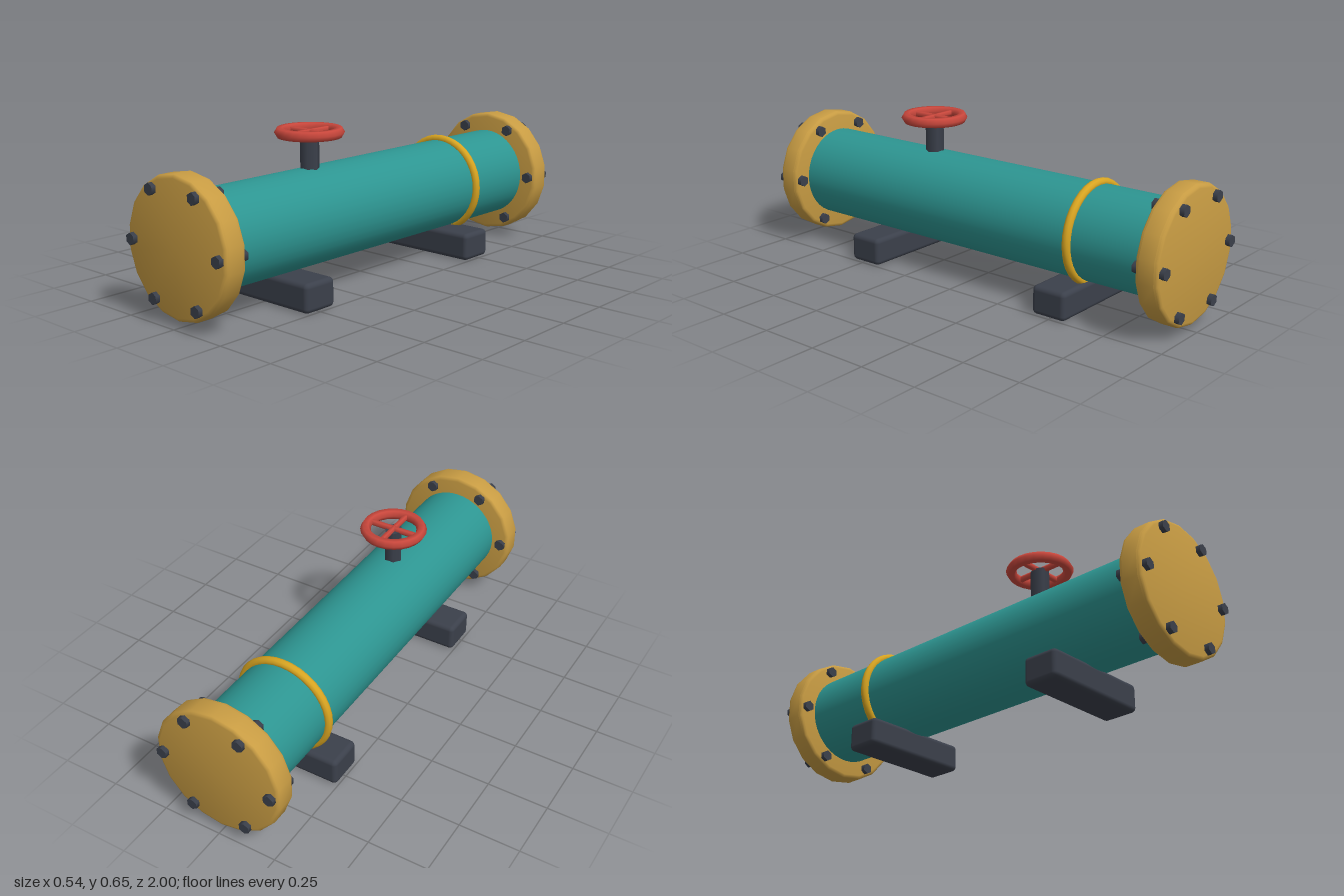
import * as THREE from 'three';
import { toCreasedNormals } from 'three/addons/utils/BufferGeometryUtils.js';
import { RoundedBoxGeometry } from 'three/addons/geometries/RoundedBoxGeometry.js';

const AXIS_Y = 0.296; // height of the pipe's centre line

function paint(name, color) {
  const m = new THREE.MeshStandardMaterial({ color });
  m.name = name;
  return m;
}

function add(parent, name, geometry, material, x = 0, y = 0, z = 0) {
  const mesh = new THREE.Mesh(geometry, material);
  mesh.name = name;
  mesh.position.set(x, y, z);
  parent.add(mesh);
  return mesh;
}

// Solid disc with rounded rims, lying along z
function flangeGeometry(radius, depth, bevel, sides) {
  const h = depth / 2;
  const profile = [new THREE.Vector2(0, -h)];
  for (const side of [-1, 1]) {
    for (let i = 0; i <= 3; i++) {
      const a = (side < 0 ? -1 + i / 3 : i / 3) * Math.PI / 2;
      profile.push(new THREE.Vector2(
        radius - bevel + bevel * Math.cos(a),
        side * (h - bevel) + bevel * Math.sin(a)));
    }
  }
  profile.push(new THREE.Vector2(0, h));
  const g = new THREE.LatheGeometry(profile, sides).rotateX(Math.PI / 2);
  return toCreasedNormals(g, 0.6);
}

export function createModel() {
  const teal = paint('teal pipe paint', 0x2d9591);
  const brass = paint('brass flange', 0xc89c43);
  const iron = paint('dark iron', 0x3b404b);
  const red = paint('red wheel paint', 0xc9473c);
  const yellow = paint('yellow band', 0xd9a521);

  const model = new THREE.Group();
  model.name = 'pipeSection';

  // Main pipe
  add(model, 'pipe', new THREE.CylinderGeometry(0.193, 0.193, 1.84, 40).rotateX(Math.PI / 2),
    teal, 0, AXIS_Y, 0);

  // End flanges, each with six through bolts
  const flangeShape = flangeGeometry(0.273, 0.096, 0.016, 18);
  const boltShape = new THREE.CylinderGeometry(0.024, 0.024, 0.134, 6).rotateX(Math.PI / 2);
  for (const [end, s] of [['front', 1], ['back', -1]]) {
    const group = new THREE.Group();
    group.name = end + 'Flange';
    group.position.set(0, AXIS_Y, s * 0.933);
    model.add(group);
    add(group, 'flangeDisc', flangeShape, brass);
    for (let i = 0; i < 6; i++) {
      const a = i * Math.PI / 3;
      add(group, 'bolt', boltShape, iron, 0.236 * Math.cos(a), 0.236 * Math.sin(a), 0);
    }
    // Support foot under this end
    add(model, end + 'Foot', new RoundedBoxGeometry(0.49, 0.118, 0.155, 3, 0.02),
      iron, 0, 0.059, s * 0.49);
  }

  // Marker band around the pipe
  add(model, 'band', new THREE.TorusGeometry(0.197, 0.018, 10, 36), yellow, 0, AXIS_Y, -0.538);

  // Valve: hexagonal stem and spoked hand wheel
  const valve = new THREE.Group();
  valve.name = 'valve';
  valve.position.set(0, 0.631, 0.295);
  model.add(valve);
  add(valve, 'stem', new THREE.CylinderGeometry(0.039, 0.039, 0.17, 6).rotateY(Math.PI / 6),
    iron, 0, -0.087, 0);
  add(valve, 'wheelRim', new THREE.TorusGeometry(0.117, 0.022, 6, 24).rotateX(Math.PI / 2), red);
  for (let i = 0; i < 2; i++) {
    const spoke = add(valve, 'spoke', new THREE.CylinderGeometry(0.013, 0.013, 0.23, 6).rotateZ(Math.PI / 2), red);
    spoke.rotation.y = i * Math.PI / 2;
  }
  return model;
}
